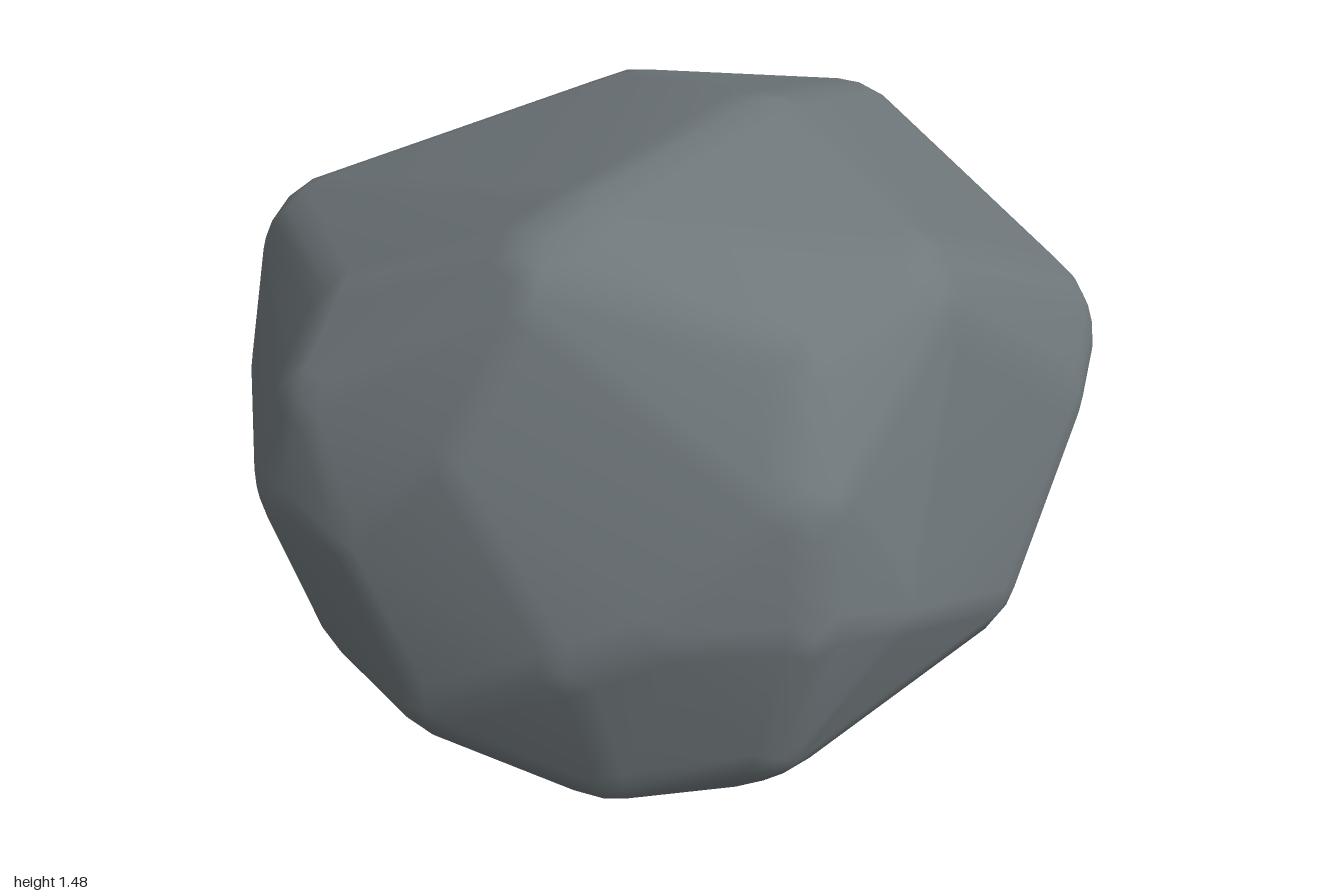
import * as THREE from 'three';
import { ConvexGeometry } from 'three/addons/geometries/ConvexGeometry.js';
import { mergeVertices } from 'three/addons/utils/BufferGeometryUtils.js';

const RADIUS = 0.23;       // rounding of the corners
const MID_HEIGHT = 0.74;

// Corners of the boulder, as worn surface points
const CROWN = [
  [-0.43, 1.43, 0.32], [-0.31, 1.47, 0.28], [0.25, 1.47, -0.08], [0.1, 1.33, -0.57],
];
const SHOULDERS = [
  [0.38, 1.36, 0.5], [0.06, 1.31, 0.66], [0.0, 1.07, 0.85], [0.71, 1.14, -0.63],
  [-0.35, 1.07, -0.82], [-0.74, 0.97, -0.79], [-0.8, 1.19, 0.0], [-0.68, 1.1, 0.39],
];
const GIRTH = [
  [1.0, 0.88, 0.1], [0.92, 0.8, 0.26], [0.9, 0.75, -0.33], [0.0, 0.7, 0.915], [0.19, 0.6, 0.845],
  [-0.5, 0.52, 0.71], [-0.3, 0.68, 0.835], [-0.78, 0.66, 0.42], [-0.91, 0.72, 0.27], [-1.0, 0.78, 0.05],
  [-0.92, 1.04, 0.08], [-0.89, 0.8, -0.47], [-0.77, 0.62, -0.82], [-0.6, 0.7, -0.885],
  [-0.35, 0.72, -0.905], [0.27, 0.75, -0.88], [0.61, 0.58, -0.78],
];
const UNDERCUT = [
  [-0.88, 0.4, 0.1], [-0.84, 0.3, 0.1], [-0.73, 0.28, 0.42], [0.6, 0.32, 0.5], [0.8, 0.44, -0.29], [0.8, 0.43, 0.1],
  [0.15, 0.33, -0.82], [-0.35, 0.5, -0.87], [-0.8, 0.4, -0.58], [0.0, 0.13, -0.65],
  [-0.38, 0.15, 0.62], [-0.72, 0.17, -0.25], [-0.05, 0.21, 0.74],
];
const BASE = [
  [0.33, 0.05, 0.25], [0.1, 0.015, 0.45], [-0.05, 0.07, 0.58], [0.3, 0.06, -0.46],
  [-0.4, 0.025, 0.35], [-0.4, 0.04, -0.35],
];

// Convex skin stretched over a small ball tucked inside every corner
function boulderGeometry() {
  const ball = mergeVertices(new THREE.IcosahedronGeometry(RADIUS, 3).deleteAttribute('uv').deleteAttribute('normal'));
  const ballPoints = ball.attributes.position;
  const points = [];
  for (const [x, y, z] of [...CROWN, ...SHOULDERS, ...GIRTH, ...UNDERCUT, ...BASE]) {
    const outward = new THREE.Vector3(x, (y - MID_HEIGHT) * 1.8, z).normalize();
    const centre = new THREE.Vector3(x, y, z).addScaledVector(outward, -RADIUS);
    for (let i = 0; i < ballPoints.count; i++) {
      const p = new THREE.Vector3().fromBufferAttribute(ballPoints, i);
      if (p.dot(outward) > 0) points.push(p.add(centre));
    }
  }
  const hull = new ConvexGeometry(points);
  hull.deleteAttribute('normal');
  const geometry = mergeVertices(hull, 1e-5);
  geometry.computeVertexNormals();
  return geometry;
}

export function createModel() {
  const group = new THREE.Group();
  group.name = 'rock';
  const boulder = new THREE.Mesh(boulderGeometry(), new THREE.MeshStandardMaterial({ color: 0x70787c }));
  boulder.name = 'boulder';
  group.add(boulder);
  return group;
}
